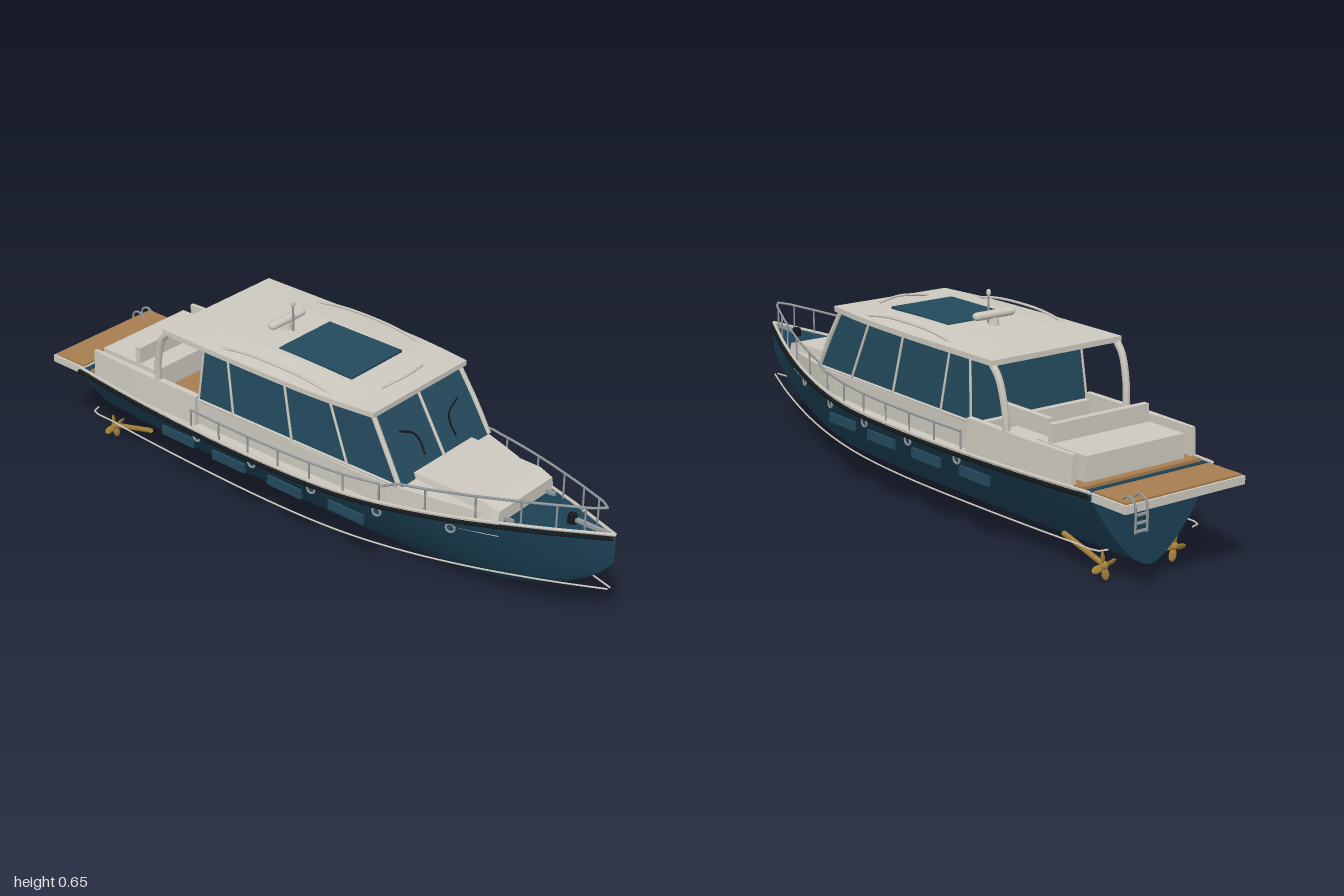
import * as THREE from 'three';

const mat = (name, color) => Object.assign(new THREE.MeshStandardMaterial({ color, side: THREE.DoubleSide }), { name });
const M = {
  hull: mat('hull navy', 0x1c4156), glass: mat('tinted glass', 0x234a5d), cream: mat('cream', 0xcdc9bf),
  teak: mat('teak', 0xa67d4f), black: mat('black rubber', 0x15191b), steel: mat('steel', 0x92989b), bronze: mat('bronze', 0xa5813a),
};

// smooth interpolation through [x, value] pairs
function curveOf(pts) {
  const slope = i => {
    const a = pts[Math.max(i - 1, 0)], b = pts[Math.min(i + 1, pts.length - 1)];
    return (b[1] - a[1]) / (b[0] - a[0]);
  };
  return x => {
    let i = 0;
    while (i < pts.length - 2 && x > pts[i + 1][0]) i++;
    const h = pts[i + 1][0] - pts[i][0], t = (x - pts[i][0]) / h, t2 = t * t, t3 = t2 * t;
    return pts[i][1] * (2 * t3 - 3 * t2 + 1) + slope(i) * h * (t3 - 2 * t2 + t)
      + pts[i + 1][1] * (3 * t2 - 2 * t3) + slope(i + 1) * h * (t3 - t2);
  };
}
const beam = curveOf([[-0.85, 0.22], [-0.6, 0.242], [-0.3, 0.257], [-0.05, 0.26], [0.2, 0.25], [0.4, 0.218], [0.6, 0.163], [0.8, 0.09], [0.93, 0.034], [1, 0.002]]);
const sheer = curveOf([[-0.85, 0.27], [-0.3, 0.265], [0.2, 0.27], [0.5, 0.288], [0.8, 0.314], [1, 0.332]]);
const keel = curveOf([[-0.85, 0.036], [0, 0.028], [0.4, 0.025], [0.55, 0.033], [0.7, 0.064], [0.8, 0.1], [0.9, 0.155], [0.97, 0.21], [1, 0.25]]);
const span = (a, b, n) => Array.from({ length: n + 1 }, (_, i) => a + (b - a) * i / n);

// skin through cross-sections; closed sections get end caps and hard edges
function loft(sections, closed = false) {
  const n = sections[0].length, idx = [], last = (sections.length - 1) * n;
  for (let i = 0; i < sections.length - 1; i++)
    for (let j = 0; j < (closed ? n : n - 1); j++) {
      const a = i * n + j, b = i * n + (j + 1) % n;
      idx.push(a, b, a + n, b, b + n, a + n);
    }
  if (closed) for (let j = 1; j < n - 1; j++) idx.push(0, j + 1, j, last, last + j, last + j + 1);
  let g = new THREE.BufferGeometry();
  g.setAttribute('position', new THREE.Float32BufferAttribute(sections.flat(2), 3));
  g.setIndex(idx);
  if (closed) g = g.toNonIndexed();
  g.computeVertexNormals();
  return g;
}
const slab = (x, w, y0, y1, wTop = w, rake = 0) => [[x, y0, -w], [x, y0, w], [x + rake, y1, wTop], [x + rake, y1, -wTop]];
const tube = (pts, r, n = 24) => new THREE.TubeGeometry(new THREE.CatmullRomCurve3(pts.map(p => new THREE.Vector3(...p))), pts.length < 3 ? 1 : n, r, 6);

export function createModel() {
  const root = new THREE.Group();
  const add = (name, geo, m, x = 0, y = 0, z = 0) => {
    const mesh = new THREE.Mesh(geo, m);
    mesh.name = name;
    mesh.position.set(x, y, z);
    root.add(mesh);
    return mesh;
  };
  // box given by its limits
  const box = (name, m, x0, x1, y0, y1, z0, z1) =>
    add(name, new THREE.BoxGeometry(x1 - x0, y1 - y0, z1 - z0), m, (x0 + x1) / 2, (y0 + y1) / 2, (z0 + z1) / 2);

  // hull, transom and decks
  const hullX = span(-0.85, 1, 48);
  const rib = (x, s) => span(0, 1, 14).map(t => [x, keel(x) + (sheer(x) - keel(x)) * t ** 1.65, s * t * beam(x)]);
  const deck = (a, b, drop) => loft(span(a, b, 24).map(x => [[x, sheer(x) - drop, -beam(x)], [x, sheer(x) - drop, beam(x)]]));
  for (const s of [1, -1]) add('hullSide', loft(hullX.map(x => rib(x, s))), M.hull);
  add('transom', loft([rib(-0.85, 1), rib(-0.85, -1)]), M.hull);
  add('aftDeck', deck(-0.85, -0.8, 0), M.hull);
  add('mainDeck', deck(-0.8, 0.7, 0), M.cream);
  add('foreDeck', deck(0.7, 1, 0), M.hull);

  // raised deck base with sloping front
  add('cabinBase', loft(span(-0.36, 0.7, 20).map(x =>
    slab(x, Math.min(0.212, beam(x) - 0.014), 0.26, x < 0.42 ? 0.343 : 0.343 - (x - 0.42) * 0.06)), true), M.cream);
  add('foreTrunk', loft([slab(0.4, 0.14, 0.3, 0.358, 0.13), slab(0.66, 0.135, 0.3, 0.358, 0.125), slab(0.705, 0.13, 0.3, 0.345, 0.12)], true), M.cream);

  // cabin glasshouse
  add('cabinGlass', loft([slab(-0.34, 0.208, 0.34, 0.532, 0.196, 0.02), slab(0.425, 0.198, 0.34, 0.532, 0.19, -0.11)], true), M.glass);
  for (const s of [1, -1]) {
    for (const [xt, xb] of [[-0.32, -0.34], [-0.23, -0.2], [-0.01, 0.03], [0.16, 0.24]])
      add('windowMullion', tube([[xb, 0.343, s * 0.208], [xt, 0.53, s * 0.196]], 0.004), M.cream);
    add('windshieldPillar', tube([[0.422, 0.343, s * 0.2], [0.375, 0.43, s * 0.197], [0.316, 0.53, s * 0.19]], 0.008), M.cream);
    add('windowSill', tube([[-0.34, 0.345, s * 0.209], [0.42, 0.345, s * 0.2]], 0.005), M.cream);
    add('wiper', tube([[0.405, 0.385, s * 0.07], [0.385, 0.42, s * 0.067], [0.37, 0.445, s * 0.08], [0.36, 0.467, s * 0.128]], 0.003), M.black);
  }
  add('windshieldPost', tube([[0.427, 0.343, 0], [0.317, 0.53, 0]], 0.005), M.cream);

  // roof with a slight crown
  const roofW = curveOf([[-0.46, 0.23], [-0.1, 0.232], [0.15, 0.225], [0.33, 0.205]]);
  add('roof', loft(span(-0.46, 0.33, 12).map(x => {
    const w = roofW(x), c = 0.012 * Math.sin(Math.PI * (x + 0.46) / 0.79);
    return [[x, 0.53, -w], [x, 0.53, w], [x, 0.546, w], [x, 0.546 + c, w * 0.55], [x, 0.546 + c, -w * 0.55], [x, 0.546, -w]];
  }), true), M.cream);
  box('roofHatch', M.glass, -0.105, 0.17, 0.554, 0.561, -0.11, 0.11);
  add('roofFrontGrip', tube([[0.262, 0.553, -0.09], [0.276, 0.56, 0], [0.262, 0.553, 0.09]], 0.004), M.cream);
  for (const s of [1, -1]) {
    add('roofHandrail', tube([[-0.26, 0.545, s * 0.2], [-0.15, 0.562, s * 0.202], [-0.04, 0.566, s * 0.203], [0.07, 0.562, s * 0.202], [0.18, 0.545, s * 0.2]], 0.004), M.cream);
    // stern arch leg
    add('archLeg', tube([[-0.505, 0.33, s * 0.212], [-0.498, 0.42, s * 0.216], [-0.475, 0.5, s * 0.219], [-0.445, 0.536, s * 0.22]], 0.011), M.cream);
  }

  // radar and mast
  add('radarPedestal', new THREE.CylinderGeometry(0.012, 0.018, 0.035, 12), M.cream, -0.175, 0.563, 0);
  const radar = add('radarBar', new THREE.CapsuleGeometry(0.012, 0.12, 4, 10), M.cream, -0.175, 0.588, 0);
  radar.rotation.x = Math.PI / 2;
  radar.scale.x = 1.3;
  add('mast', new THREE.CylinderGeometry(0.003, 0.004, 0.09, 8), M.steel, -0.15, 0.597, 0);
  add('mastLight', new THREE.SphereGeometry(0.007, 10, 8), M.cream, -0.15, 0.645, 0).scale.y = 1.6;

  // cockpit floor, coamings and seats
  box('cockpitFloor', M.teak, -0.81, -0.36, 0.27, 0.279, -0.21, 0.21);
  for (const s of [1, -1])
    add('coaming', loft([-0.78, -0.6, -0.34].map(x => {
      const o = Math.min(beam(x) - 0.006, 0.228);
      return [[x, 0.262, s * 0.203], [x, 0.262, s * o], [x, 0.36, s * (o - 0.005)], [x, 0.36, s * 0.203]];
    }), true), M.cream);
  box('sternSeat', M.cream, -0.785, -0.555, 0.279, 0.35, -0.175, 0.172);
  box('sternBackrest', M.cream, -0.645, -0.625, 0.35, 0.402, -0.17, 0.17);
  box('sideSeat', M.cream, -0.59, -0.46, 0.279, 0.35, -0.205, -0.125);
  box('sideBackrest', M.cream, -0.59, -0.39, 0.35, 0.4, -0.14, -0.122);

  // swim platform and ladder
  box('swimPlatform', M.cream, -0.98, -0.845, 0.25, 0.273, -0.21, 0.21);
  box('platformTeak', M.teak, -0.973, -0.85, 0.273, 0.278, -0.203, 0.203);
  for (const z of [-0.19, -0.15])
    add('ladderRail', tube([[-0.94, 0.275, z], [-0.965, 0.292, z], [-0.99, 0.282, z], [-0.996, 0.25, z], [-0.996, 0.2, z]], 0.0035), M.steel);
  for (const y of [0.205, 0.227, 0.249]) box('ladderRung', M.steel, -0.999, -0.992, y - 0.003, y + 0.003, -0.19, -0.15);

  // rails along the hull
  const along = (a, b, n, s, dz, dy) => span(a, b, n).map(x => [x, sheer(x) + dy, s * Math.max(beam(x) + dz, 0.001)]);
  for (const s of [1, -1]) {
    add('rubRail', tube(along(-0.85, 0.997, 30, s, 0.003, -0.004), 0.007, 70), M.black);
    add('capRail', tube(along(-0.85, 0.997, 30, s, -0.004, 0.006), 0.005, 70), M.cream);
    add('bootStripe', tube([[-0.85, 0.108, s * 0.15], ...span(-0.84, 0.99, 24).map(x =>
      [x, 0.108 + 0.057 * Math.max(0, (x + 0.1) / 1.1) ** 1.8, s * 0.81 * beam(x)])], 0.0028, 70), M.cream);

    // side guard rail
    const guard = (x, dy) => [x, sheer(x) + dy, s * (beam(x) - 0.012)];
    add('sideRail', tube(span(-0.34, 0.36, 12).map(x => guard(x, 0.06)), 0.0035, 30), M.steel);
    for (const x of span(-0.34, 0.36, 6)) add('sideStanchion', tube([guard(x, 0), guard(x, 0.06)], 0.003), M.steel);

    // bow rail
    const bow = x => [x, 0.355 + 0.055 * (x - 0.4) / 0.57, s * Math.max(0, beam(x) - 0.008)];
    add('bowRail', tube([[0.37, 0.335, s * 0.214], ...span(0.42, 0.94, 10).map(bow), [0.968, 0.41, 0]], 0.0038, 50), M.steel);
    for (const x of [0.5, 0.64, 0.76, 0.85, 0.92])
      add('bowStanchion', tube([bow(x), [x, sheer(x), s * (beam(x) - 0.008)]], 0.003), M.steel);

    // hull windows standing just proud of the topsides
    for (const x of [-0.4, -0.185, 0.035, 0.255]) {
      const z = beam(x) - 0.012;
      box('hullWindow', M.glass, x - 0.065, x + 0.065, 0.197, 0.226, s * z - 0.004, s * z + 0.004);
    }
    for (const x of [-0.32, -0.095, 0.13, 0.35, 0.57]) {
      const y = 0.24 + Math.max(0, x - 0.3) * 0.06, t = ((y - keel(x)) / (sheer(x) - keel(x))) ** (1 / 1.65);
      const z = s * (t * beam(x) + 0.003), turn = s * Math.atan((beam(x - 0.02) - beam(x + 0.02)) / 0.04);
      add('portholeRim', new THREE.TorusGeometry(0.013, 0.0035, 6, 18), M.steel, x, y, z).rotation.y = turn;
      const pane = add('portholePane', new THREE.CircleGeometry(0.012, 18), M.glass, x, y, z);
      pane.rotation.y = turn;
    }

    // propeller shaft and blades
    const pz = s * 0.125;
    add('propellerShaft', tube([[-0.64, 0.09, pz], [-0.815, 0.046, pz]], 0.008), M.bronze);
    add('propellerHub', new THREE.SphereGeometry(0.012, 10, 8), M.bronze, -0.807, 0.047, pz);
    for (let k = 0; k < 4; k++) {
      const a = k * Math.PI / 2 + 0.2 * s, blade = new THREE.SphereGeometry(1, 10, 8);
      blade.scale(0.004, 0.019, 0.011).rotateY(0.5).translate(0, 0.024, 0).rotateX(a);
      add('propellerBlade', blade, M.bronze, -0.807, 0.045, pz);
    }
    box('mooringCleat', M.steel, 0.7, 0.735, sheer(0.72), sheer(0.72) + 0.012, s * 0.095 - 0.004, s * 0.095 + 0.004);
  }

  // anchor gear
  add('windlass', new THREE.CylinderGeometry(0.013, 0.015, 0.025, 12), M.black, 0.86, 0.333, 0);
  box('anchorRoller', M.steel, 0.87, 0.99, 0.328, 0.338, -0.006, 0.006);
  return root;
}
